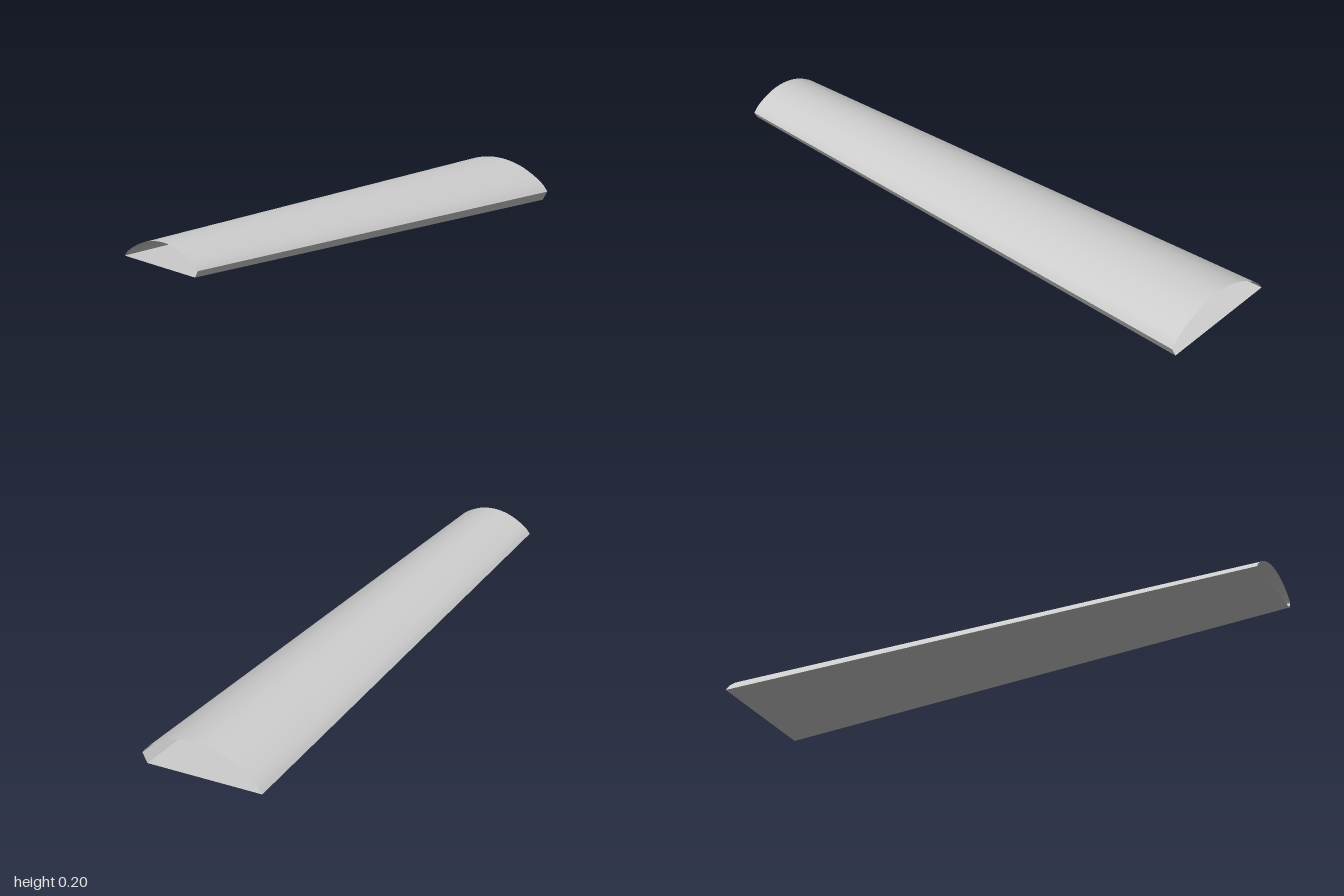
import * as THREE from 'three';

// The two end sections of the blade: middle of the arc's base and size
const ROOT = { z: -1, x: 0, y: 0.037, halfWidth: 0.239, height: 0.106 };
const TIP = { z: 1, x: 0.081, y: 0.137, halfWidth: 0.156, height: 0.069 };

// Ruled surface from root to tip along a run of section points (u across, v up)
function loft(points) {
  const pos = [], index = [];
  for (const [u, v] of points) {
    for (const s of [ROOT, TIP]) {
      pos.push(s.x + u * s.halfWidth, s.y + v * s.height, s.z);
    }
  }
  for (let i = 0; i < points.length - 1; i++) {
    const r = 2 * i, t = r + 1;
    index.push(r, r + 2, t, r + 2, t + 2, t);
  }
  const geo = new THREE.BufferGeometry();
  geo.setAttribute('position', new THREE.Float32BufferAttribute(pos, 3));
  geo.setIndex(index);
  geo.computeVertexNormals();
  return geo;
}

export function createModel() {
  const grey = new THREE.MeshStandardMaterial({ color: 0xcccccc, side: THREE.DoubleSide });
  grey.name = 'light grey';

  // Symmetric arched top, right edge to left edge
  const half = [[1, 0], [0.91, 0.24], [0.75, 0.5], [0.5, 0.785], [0.25, 0.945]];
  const arch = [...half, [0, 1], ...half.map(([u, v]) => [-u, v]).reverse()];
  const curve = new THREE.SplineCurve(arch.map(([u, v]) => new THREE.Vector2(u, v)));
  const top = curve.getPoints(40).map((p) => [p.x, p.y]);

  const left = [-1, 0], lowerRight = [0.918, -0.328], right = [1, 0];

  // Open-ended shell: each face is separate so the long edges stay sharp
  const model = new THREE.Group();
  model.name = 'taperedBlade';
  const faces = {
    archedTop: top,
    flatUnderside: [left, lowerRight],
    narrowEdge: [lowerRight, right],
  };
  for (const [name, points] of Object.entries(faces)) {
    const mesh = new THREE.Mesh(loft(points), grey);
    mesh.name = name;
    model.add(mesh);
  }
  return model;
}
